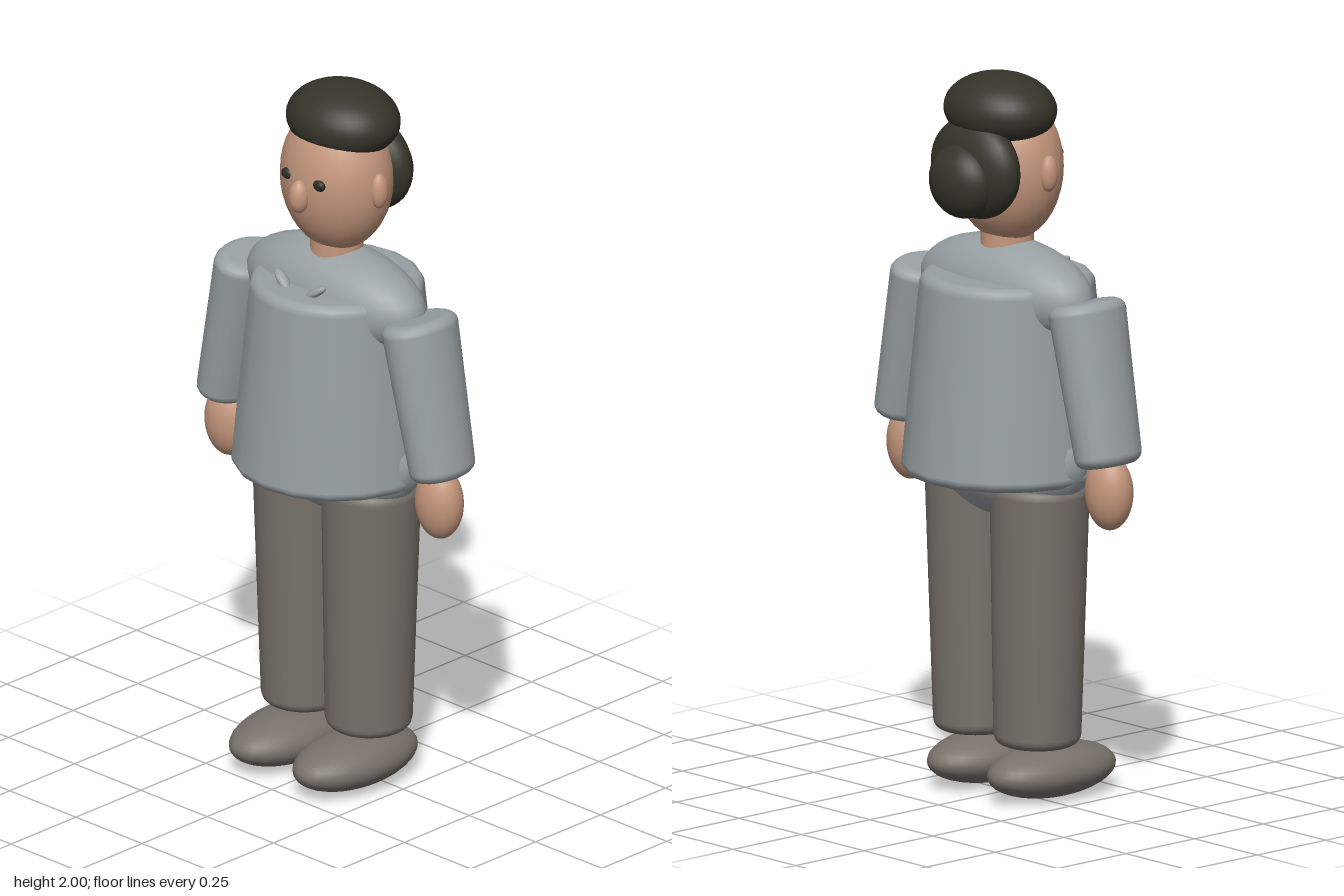
import * as THREE from 'three';

const mat = (name, color) => {
  const m = new THREE.MeshStandardMaterial({ color });
  m.name = name;
  return m;
};

// Tapered cylinder with rounded rims, standing from y = 0 to y = h
function roundedTaper(rBottom, rTop, h, bevel, segments) {
  const pts = [new THREE.Vector2(0, 0)];
  const steps = 5;
  for (let i = 0; i <= steps; i++) {
    const a = (i / steps) * Math.PI / 2;
    pts.push(new THREE.Vector2(rBottom - bevel + bevel * Math.sin(a), bevel - bevel * Math.cos(a)));
  }
  for (let i = 0; i <= steps; i++) {
    const a = (i / steps) * Math.PI / 2;
    pts.push(new THREE.Vector2(rTop - bevel + bevel * Math.cos(a), h - bevel + bevel * Math.sin(a)));
  }
  pts.push(new THREE.Vector2(0, h));
  return new THREE.LatheGeometry(pts, segments);
}

export function createModel() {
  const model = new THREE.Group();
  model.name = 'figure';

  const shirt = mat('greyShirt', 0x98a0a3);
  const trousers = mat('brownGreyCloth', 0x78716a);
  const skin = mat('skin', 0xc4967c);
  const hair = mat('darkHair', 0x35342a);
  const eye = mat('eyeDark', 0x2b2b28);

  const add = (name, geometry, material, x, y, z) => {
    const mesh = new THREE.Mesh(geometry, material);
    mesh.name = name;
    mesh.position.set(x, y, z);
    model.add(mesh);
    return mesh;
  };
  const ball = new THREE.SphereGeometry(1, 32, 20);
  const ellipsoid = (name, material, [x, y, z], [rx, ry, rz]) => {
    const mesh = add(name, ball, material, x, y, z);
    mesh.scale.set(rx, ry, rz);
    return mesh;
  };

  // Torso
  add('tunic', roundedTaper(0.286, 0.238, 0.555, 0.03, 18), shirt, 0, 0.89, 0);
  ellipsoid('shoulders', shirt, [0, 1.4, 0], [0.312, 0.142, 0.14]);
  ellipsoid('pelvis', shirt, [0, 0.95, 0], [0.29, 0.18, 0.165]);

  // Head
  add('neck', new THREE.CylinderGeometry(0.07, 0.075, 0.14, 24), skin, 0, 1.53, 0);
  ellipsoid('head', skin, [0, 1.74, 0], [0.165, 0.21, 0.142]);
  ellipsoid('nose', skin, [0, 1.72, 0.145], [0.028, 0.047, 0.028]);
  ellipsoid('hairCap', hair, [0, 1.9, -0.025], [0.167, 0.1, 0.142]);
  ellipsoid('backHair', hair, [0, 1.75, -0.115], [0.16, 0.14, 0.075]);
  ellipsoid('bun', hair, [0, 1.72, -0.162], [0.108, 0.102, 0.076]);

  // Mirrored parts
  const sleeve = roundedTaper(0.077, 0.089, 0.45, 0.03, 24);
  const leg = roundedTaper(0.119, 0.135, 0.73, 0.03, 24);
  for (const s of [1, -1]) {
    const side = s > 0 ? 'left' : 'right';
    ellipsoid(side + 'Eye', eye, [s * 0.06, 1.765, 0.129], [0.02, 0.016, 0.012]);
    ellipsoid(side + 'Ear', skin, [s * 0.163, 1.742, 0.003], [0.023, 0.05, 0.027]);

    const collar = ellipsoid(side + 'CollarTab', shirt, [s * 0.063, 1.456, 0.145], [0.037, 0.012, 0.016]);
    collar.rotation.set(0, s * 0.25, s * 0.6);

    const arm = add(side + 'Sleeve', sleeve, shirt, s * 0.407, 0.975, 0.003);
    arm.rotation.z = s * 0.215;
    arm.scale.z = 1.32;
    ellipsoid(side + 'Hand', skin, [s * 0.397, 0.9, 0.01], [0.072, 0.105, 0.06]);

    const limb = add(side + 'Leg', leg, trousers, s * 0.12, 0.155, 0);
    limb.rotation.z = -s * 0.014;
    ellipsoid(side + 'Shoe', trousers, [s * 0.12, 0.076, 0.052], [0.118, 0.073, 0.21]);
  }
  return model;
}
